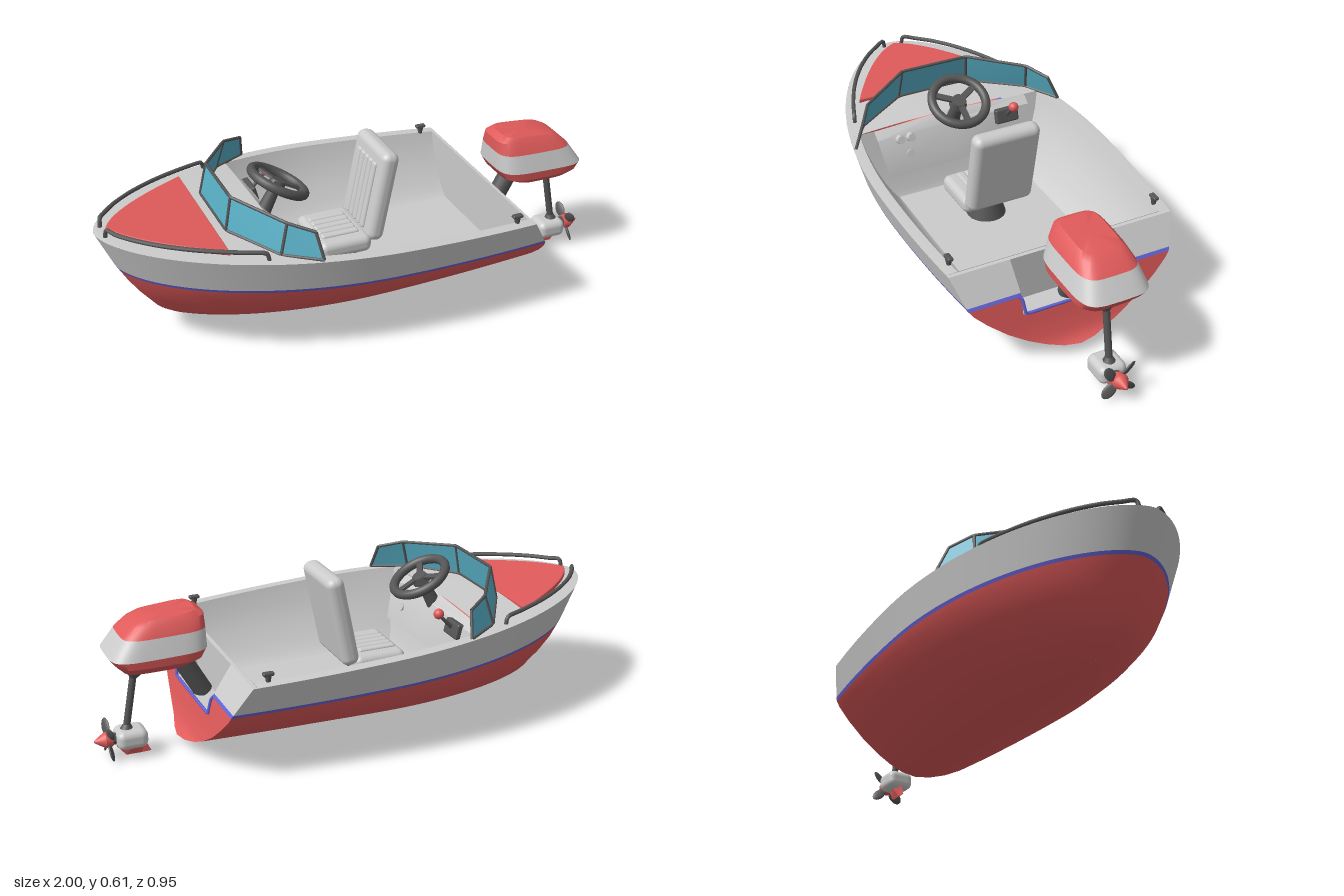
import * as THREE from 'three';
import { toCreasedNormals } from 'three/addons/utils/BufferGeometryUtils.js';
import { RoundedBoxGeometry } from 'three/addons/geometries/RoundedBoxGeometry.js';

const V = (x, y, z) => new THREE.Vector3(x, y, z);
const lerp = THREE.MathUtils.lerp;
const mat = (color) => new THREE.MeshStandardMaterial({ color, side: THREE.DoubleSide });
const GREY = mat(0xcccccc), RED = mat(0xe05a5a), BLUE = mat(0x6464d8), DARK = mat(0x555555), GLASS = mat(0x58afc6);

// Hull levels: stem x, stern x, half width, stem y, stern y (sheer down to keel)
const LEVELS = [
  [-1, 0.54, 0.475, 0.46, 0.385],
  [-0.937, 0.603, 0.443, 0.32, 0.28],
  [-0.93, 0.61, 0.438, 0.308, 0.268],
  [-0.9, 0.615, 0.42, 0.255, 0.245],
  [-0.86, 0.625, 0.37, 0.195, 0.2],
  [-0.8, 0.637, 0.29, 0.12, 0.14],
  [-0.76, 0.65, 0.21, 0.09, 0.095],
  [-0.72, 0.662, 0.14, 0.073, 0.066],
  [-0.66, 0.68, 0.07, 0.053, 0.05],
  [-0.6, 0.69, 0, 0.045, 0.045],
];

function levelPoint([xs, xe, w, ys, ye], x) {
  const s = Math.max(0, (x - xs) / -xs);
  const f = x < 0 ? Math.pow(Math.max(0, 1 - (1 - s) ** 2), 0.6) : 1 - 0.08 * (x / 0.6) ** 2;
  return V(x, lerp(ys, ye, (x - xs) / (xe - xs)), w * f);
}
const levelRow = (l, n = 48) =>
  Array.from({ length: n + 1 }, (_, i) => levelPoint(l, lerp(l[0], l[1], (i / n) ** 1.7)));
const sternPoint = (l) => levelPoint(l, l[1]);
const flip = (p) => V(p.x, p.y, -p.z);

export function createModel() {
  const model = new THREE.Group();

  const add = (name, geo, material, pos = [0, 0, 0], rot = [0, 0, 0]) => {
    const m = new THREE.Mesh(geo, material);
    m.name = name;
    m.position.set(...pos);
    m.rotation.set(...rot);
    model.add(m);
    return m;
  };
  // Skin stretched over rows of points
  const skin = (name, rows, material, crease = 0.6) => {
    const n = rows[0].length, idx = [];
    for (let j = 0; j < rows.length - 1; j++)
      for (let i = 0; i < n - 1; i++) {
        const a = j * n + i, b = a + n;
        idx.push(a, b, a + 1, b, b + 1, a + 1);
      }
    const g = new THREE.BufferGeometry().setFromPoints(rows.flat());
    g.setIndex(idx);
    return add(name, toCreasedNormals(g, crease), material);
  };
  const skinPair = (name, rows, material) => {
    skin(name + 'Left', rows, material);
    skin(name + 'Right', rows.map((r) => r.map(flip)), material);
  };
  const tube = (name, pts, r, material, tension = 0) =>
    add(name, new THREE.TubeGeometry(new THREE.CatmullRomCurve3(pts, false, 'catmullrom', tension), pts.length * 8, r, 8), material);
  // Tapered rod between two points
  const rod = (name, a, b, ra, rb, material, sides = 16) => {
    const m = add(name, new THREE.CylinderGeometry(rb, ra, a.distanceTo(b), sides), material);
    m.position.copy(a).lerp(b, 0.5);
    m.quaternion.setFromUnitVectors(V(0, 1, 0), b.clone().sub(a).normalize());
    return m;
  };

  // Hull: grey topsides, blue stripe, red bottom
  const rows = LEVELS.map((l) => levelRow(l));
  skinPair('topside', [rows[0], rows[1]], GREY);
  skinPair('stripe', [rows[1], rows[2]], BLUE);
  const lower = rows.slice(2);
  skin('hullBottom', [...lower, ...lower.slice(0, -1).reverse().map((r) => r.map(flip))], RED);

  // Transom with a notch for the motor
  const stern = LEVELS.map(sternPoint);
  skinPair('transomWing', stern.slice(2, 5).map((p) => [p, V(p.x, p.y, 0.2)]), RED);
  skin('transom', stern.slice(4).map((p) => [p, flip(p)]), RED);
  skinPair('transomSlope', [[stern[0], V(0.54, 0.385, 0.21)], [stern[1], V(0.603, 0.28, 0.2)]], GREY);
  skinPair('transomStripe', [[stern[1], V(0.603, 0.28, 0.2)], [stern[2], V(0.61, 0.268, 0.2)]], BLUE);
  skinPair('notchSide', [[V(0.54, 0.385, 0.21), V(0.603, 0.28, 0.2), V(0.625, 0.2, 0.19)],
    [V(0.54, 0.2, 0.19), V(0.54, 0.2, 0.19), V(0.54, 0.2, 0.19)]], GREY);
  skin('notchBack', [[V(0.54, 0.385, 0.21), V(0.54, 0.385, -0.21)], [V(0.54, 0.2, 0.19), V(0.54, 0.2, -0.19)]], GREY);
  skin('notchFloor', [[V(0.54, 0.2, 0.2), V(0.54, 0.2, -0.2)], [V(0.625, 0.2, 0.2), V(0.625, 0.2, -0.2)]], GREY);
  tube('notchTrim', [V(0.609, 0.272, 0.21), V(0.615, 0.262, 0.2), V(0.626, 0.2, 0.19),
    V(0.626, 0.2, -0.19), V(0.615, 0.262, -0.2), V(0.609, 0.272, -0.21)], 0.006, BLUE);

  // Foredeck with a slight crown, gunwales and aft rim
  const DASH = -0.385, AFT = 0.525, FLOOR = 0.15, FLOOR_Z = 0.265;
  const sheer = (x) => levelPoint(LEVELS[0], x);
  const deck = [];
  for (let i = 0; i <= 24; i++) {
    const p = sheer(lerp(-1, DASH, (i / 24) ** 1.7));
    deck.push(Array.from({ length: 13 }, (_, k) => {
      const u = k / 6 - 1;
      return V(p.x, p.y + 0.04 * p.z * (1 - u * u), p.z * u);
    }));
  }
  skin('foredeck', deck, GREY);
  const xsRim = Array.from({ length: 21 }, (_, i) => lerp(DASH, AFT, i / 20));
  const rim = xsRim.map((x) => sheer(x).add(V(0, 0.002, -0.042)));
  skinPair('gunwale', [xsRim.map(sheer), rim.map((p) => p.clone().add(V(0, 0, 0.012))), rim], GREY);
  const end = rim[20];
  skin('aftRim', [[sheer(AFT), flip(sheer(AFT))], [sheer(0.54), flip(sheer(0.54))]], GREY);

  // Cockpit tub: side walls curving into the floor, dash and aft wall
  const wall = [0, 0.2, 0.45, 0.7, 0.85, 0.95, 1].map((v) => rim.map((p, i) => {
    const foot = V(lerp(-0.31, AFT, i / 20), FLOOR, FLOOR_Z);
    return V(lerp(p.x, foot.x, v), lerp(p.y, FLOOR, 1 - (1 - v) ** 1.25), lerp(p.z, FLOOR_Z, v ** 1.3));
  }));
  skinPair('cockpitWall', wall, GREY);
  skin('cockpitFloor', [[V(-0.31, FLOOR, FLOOR_Z), V(-0.31, FLOOR, -FLOOR_Z)], [V(AFT, FLOOR, FLOOR_Z), V(AFT, FLOOR, -FLOOR_Z)]], GREY);
  skin('dashboard', wall.map((r) => [r[0], flip(r[0])]), GREY);
  skin('aftWall', wall.map((r) => [r[20], flip(r[20])]), GREY);
  skin('dashLip', [[V(DASH, 0.431, 0.33), V(DASH, 0.448, 0), V(DASH, 0.431, -0.33)],
    [V(-0.35, 0.405, 0.33), V(-0.35, 0.415, 0), V(-0.35, 0.405, -0.33)],
    [V(-0.312, 0.25, 0.3), V(-0.312, 0.25, 0), V(-0.312, 0.25, -0.3)]], GREY);

  // Red bow pad
  const pad = new THREE.Shape();
  pad.moveTo(-0.955, 0);
  pad.quadraticCurveTo(-0.9, 0.13, -0.6, 0.3);
  pad.lineTo(-0.6, -0.3);
  pad.quadraticCurveTo(-0.9, -0.13, -0.955, 0);
  const padGeo = new THREE.ExtrudeGeometry(pad, { depth: 0.012, bevelSize: 0.004, bevelThickness: 0.005, bevelSegments: 2, curveSegments: 16 });
  padGeo.rotateX(-Math.PI / 2);
  add('bowPad', padGeo, RED, [0, 0.413, 0], [0, 0, -0.05]);

  for (const s of [1, -1]) {
    // Bow rails
    const on = (x, h) => { const p = sheer(x); return V(p.x + 0.012, p.y + h, s * Math.max(0.03, p.z - 0.03)); };
    tube('bowRail', [on(-0.98, 0), on(-0.975, 0.033), ...[-0.95, -0.9, -0.83, -0.75, -0.67, -0.58, -0.51].map((x) => on(x, 0.03)),
      on(-0.495, 0.022), on(-0.49, 0)], 0.008, DARK, 0.4);
    // Stern cleats
    add('cleatPost', new THREE.CylinderGeometry(0.013, 0.008, 0.03, 12), DARK, [0.475, 0.402, s * 0.413]);
    add('cleatTop', new RoundedBoxGeometry(0.042, 0.014, 0.022, 3, 0.006), DARK, [0.475, 0.418, s * 0.413]);
  }

  // Windscreen: five panes in dark frames
  const half = [[V(-0.56, 0.455, 0.15), V(-0.535, 0.578, 0.14)], [V(-0.43, 0.438, 0.36), V(-0.4, 0.55, 0.345)],
    [V(-0.3, 0.43, 0.44), V(-0.315, 0.525, 0.4)]];
  const posts = [...half.map((p) => p.map(flip)).reverse(), ...half];
  for (let i = 0; i < 5; i++) skin('windscreenPane', [posts[i], posts[i + 1]], GLASS);
  for (const k of [0, 1]) tube('windscreenEdge', posts.map((p) => p[k]), 0.006, DARK);
  posts.forEach((p) => rod('windscreenPost', p[0], p[1], 0.006, 0.006, DARK, 8));

  // Steering wheel, column, lever and dash fittings
  const wheel = new THREE.Group();
  wheel.name = 'steeringWheel';
  const part = (geo, y = 0, rotX = 0) => {
    const m = new THREE.Mesh(geo, DARK);
    m.position.y = y;
    m.rotation.x = rotX;
    wheel.add(m);
    return m;
  };
  part(new THREE.TorusGeometry(0.108, 0.018, 12, 40), 0, Math.PI / 2);
  part(new THREE.CylinderGeometry(0.028, 0.036, 0.03, 20), -0.008);
  part(new THREE.CylinderGeometry(0.02, 0.03, 0.14, 16), -0.08);
  for (let i = 0; i < 3; i++) {
    const spoke = new THREE.BoxGeometry(0.1, 0.01, 0.024);
    spoke.translate(0.058, 0, 0);
    part(spoke).rotation.y = (i * Math.PI * 2) / 3;
  }
  wheel.position.set(-0.305, 0.525, 0);
  wheel.rotation.z = -0.5;
  model.add(wheel);
  add('leverBase', new RoundedBoxGeometry(0.04, 0.06, 0.1, 2, 0.008), DARK, [-0.345, 0.385, -0.225], [0, 0, 0.25]);
  rod('leverStick', V(-0.335, 0.39, -0.225), V(-0.275, 0.452, -0.225), 0.008, 0.006, DARK, 10);
  add('leverKnob', new THREE.SphereGeometry(0.02, 16, 12), RED, [-0.275, 0.455, -0.225]);
  for (const [y, z] of [[0.4, 0.195], [0.4, 0.24], [0.33, 0.2]])
    rod('dashDial', V(-0.36, y - 0.01, z), V(-0.325, y, z), 0.019, 0.016, GREY);

  // Seat with pleated cushions
  add('seatPedestal', new THREE.CylinderGeometry(0.05, 0.08, 0.1, 20), DARK, [-0.07, 0.19, 0]);
  add('seatCushion', new RoundedBoxGeometry(0.21, 0.07, 0.27, 4, 0.028), GREY, [-0.085, 0.255, 0]);
  const back = add('seatBack', new RoundedBoxGeometry(0.07, 0.36, 0.27, 4, 0.03), GREY, [0.066, 0.435, 0], [0, 0, -0.2]);
  for (let i = 0; i < 5; i++) {
    const z = (i - 2) * 0.034;
    add('cushionPleat', new RoundedBoxGeometry(0.15, 0.02, 0.032, 3, 0.009), GREY, [-0.09, 0.289, z]);
    const pleat = new THREE.Mesh(new RoundedBoxGeometry(0.02, 0.27, 0.032, 3, 0.009), GREY);
    pleat.name = 'backPleat';
    pleat.position.set(-0.034, -0.01, z);
    back.add(pleat);
  }

  // Motor cowl: rounded rings [y, front x, rear x, half width, tilt]
  const ring = ([y, x0, x1, w, tilt]) => Array.from({ length: 41 }, (_, i) => {
    const a = (i / 40) * Math.PI * 2, q = (c) => Math.sign(c) * Math.abs(c) ** 0.45;
    const x = (x0 + x1) / 2 + ((x1 - x0) / 2) * q(Math.cos(a));
    return V(x, y - tilt * (x - 0.76), w * q(Math.sin(a)));
  });
  const cowl = [[0.336, 0.76, 0.77, 0, 0], [0.337, 0.72, 0.83, 0.06, 0], [0.352, 0.66, 0.89, 0.095, 0], [0.385, 0.6, 0.92, 0.133, 0],
    [0.415, 0.58, 0.94, 0.135, 0.02], [0.485, 0.58, 0.89, 0.112, 0.02], [0.525, 0.582, 0.85, 0.092, 0.06], [0.541, 0.61, 0.82, 0.075, 0.08],
    [0.543, 0.71, 0.72, 0, 0.08]].map(ring);
  skin('cowlBottom', cowl.slice(0, 5), RED);
  skin('cowlBand', cowl.slice(4, 6), GREY);
  skin('cowlTop', cowl.slice(5), RED);

  // Mount, drive leg, gear case and skeg
  rod('motorMount', V(0.58, 0.205, 0), V(0.68, 0.385, 0), 0.036, 0.036, DARK);
  rod('legCollar', V(0.842, 0.305, 0), V(0.832, 0.345, 0), 0.014, 0.046, DARK);
  rod('driveLeg', V(0.88, 0.1, 0), V(0.838, 0.33, 0), 0.013, 0.013, DARK);
  rod('legFoot', V(0.878, 0.1, 0), V(0.875, 0.125, 0), 0.028, 0.014, DARK);
  add('gearCase', new RoundedBoxGeometry(0.115, 0.072, 0.108, 4, 0.026), GREY, [0.865, 0.074, 0]);
  const skegAt = (y, x0, x1, w) => [V(x0, y, 0), V(lerp(x0, x1, 0.4), y, w), V(x1, y, 0), V(lerp(x0, x1, 0.4), y, -w), V(x0, y, 0)];
  skin('skeg', [skegAt(0.045, 0.81, 0.92, 0.022), skegAt(0.001, 0.79, 0.885, 0.002), skegAt(0, 0.83, 0.831, 0)], RED, 0.3);

  // Propeller
  rod('propellerShaft', V(0.91, 0.075, 0), V(0.945, 0.075, 0), 0.022, 0.022, DARK);
  rod('propellerHub', V(0.935, 0.075, 0), V(0.96, 0.075, 0), 0.027, 0.03, RED, 20);
  rod('propellerNose', V(0.96, 0.075, 0), V(1, 0.075, 0), 0.03, 0.004, RED, 20);
  for (let i = 0; i < 4; i++) {
    const blade = new THREE.SphereGeometry(1, 16, 10);
    blade.scale(0.006, 0.034, 0.021).rotateY(0.5).translate(0, 0.052, 0);
    add('propellerBlade', blade, DARK, [0.947, 0.075, 0], [Math.PI / 4 + (i * Math.PI) / 2, 0, 0]);
  }
  return model;
}
